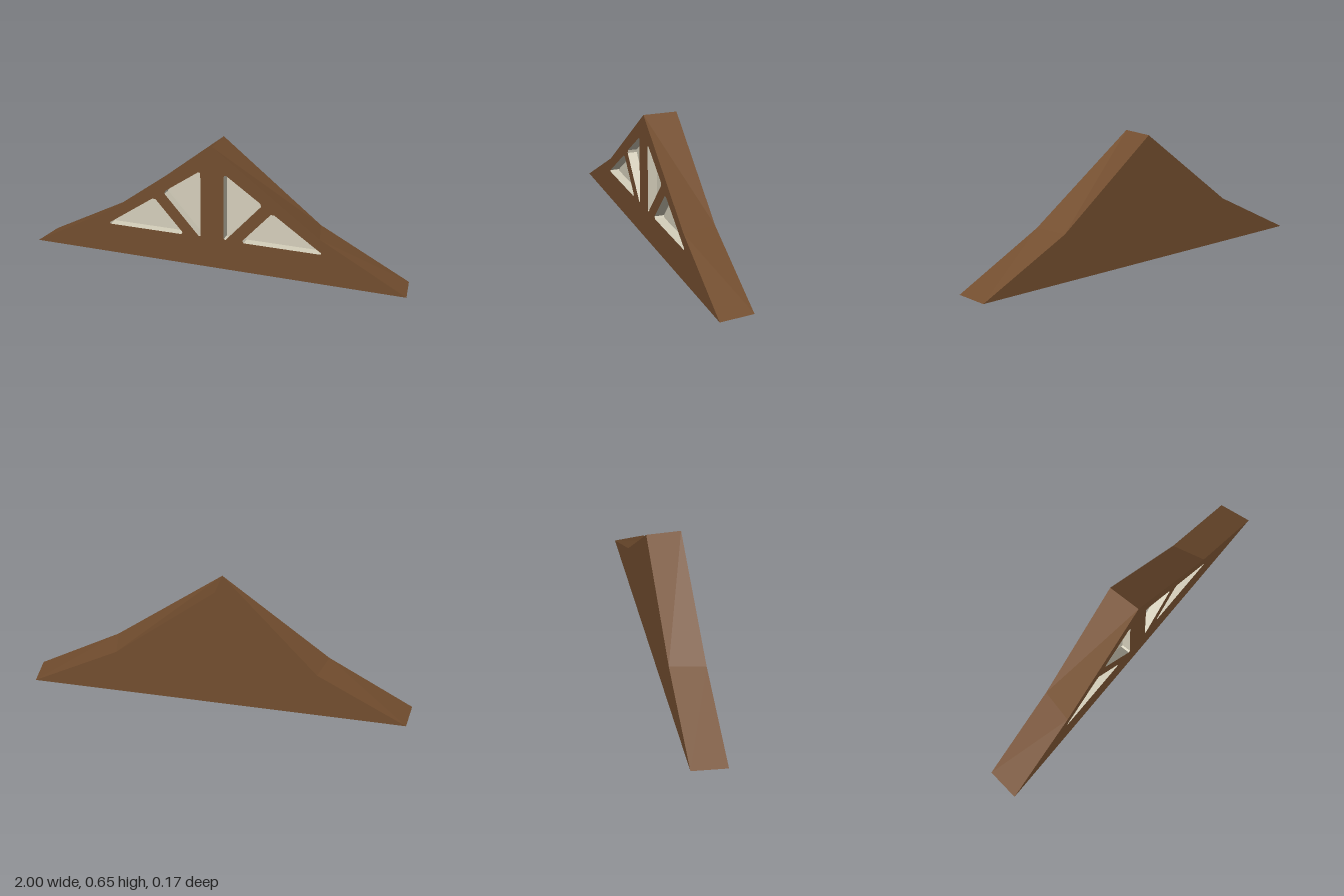
import * as THREE from 'three';

const FRONT = 0.0875, BACK = -0.0875, FLOOR = 0.0375;

// Mirrors a counter-clockwise outline across x = 0, keeping its winding
const mirror = (pts) => pts.map(([x, y]) => [-x, y]).reverse();
const toShape = (pts) => new THREE.Shape(pts.map(([x, y]) => new THREE.Vector2(x, y)));

// Band of faces joining a front outline to a back outline
function band(front, zf, back, zb, inward = false) {
  const pos = [];
  const n = front.length;
  for (let i = 0; i < n; i++) {
    const j = (i + 1) % n;
    const fi = [...front[i], zf], fj = [...front[j], zf];
    const ki = [...back[i], zb], kj = [...back[j], zb];
    const tris = front[i][0] + front[j][0] > 0
      ? [[fi, ki, fj], [ki, kj, fj]]
      : [[fi, ki, kj], [fi, kj, fj]];
    for (const [a, b, c] of tris) pos.push(...a, ...(inward ? c : b), ...(inward ? b : c));
  }
  const geo = new THREE.BufferGeometry();
  geo.setAttribute('position', new THREE.Float32BufferAttribute(pos, 3));
  geo.computeVertexNormals();
  return geo;
}

export function createModel() {
  const group = new THREE.Group();
  group.name = 'gableTruss';

  const wood = new THREE.MeshStandardMaterial({ color: 0x734e2f });
  wood.name = 'brownWood';
  const plaster = new THREE.MeshStandardMaterial({ color: 0xd6d0bc });
  plaster.name = 'palePlaster';

  const add = (name, geo, mat, z = 0) => {
    const mesh = new THREE.Mesh(geo, mat);
    mesh.name = name;
    mesh.position.z = z;
    group.add(mesh);
    return mesh;
  };

  // Kinked gable outlines; the back is slightly narrower than the front
  const gable = (foot, knee) => [[foot, 0], [knee, 0.24], [0, 0.652], [-knee, 0.24], [-foot, 0]];
  const frontOutline = gable(1, 0.56);
  const backOutline = gable(0.98, 0.52);

  // Triangular pockets with blunted corners
  const inner = [[0.062, 0.167], [0.072, 0.163], [0.257, 0.37], [0.254, 0.386], [0.074, 0.51], [0.062, 0.508]];
  const outer = [[0.168, 0.16], [0.565, 0.16], [0.569, 0.168], [0.325, 0.335], [0.307, 0.334], [0.161, 0.172]];
  const pockets = {
    leftInner: inner, leftOuter: outer,
    rightInner: mirror(inner), rightOuter: mirror(outer),
  };

  // Timber body
  const face = toShape(frontOutline);
  for (const pts of Object.values(pockets)) face.holes.push(toShape(pts));
  add('frontFrame', new THREE.ShapeGeometry(face), wood, FRONT);
  add('backFace', new THREE.ShapeGeometry(toShape(backOutline)), wood, BACK).rotation.y = Math.PI;
  add('edges', band(frontOutline, FRONT, backOutline, BACK), wood);

  // Recessed infill panels and their reveals
  for (const [name, pts] of Object.entries(pockets)) {
    add(name + 'Panel', new THREE.ShapeGeometry(toShape(pts)), plaster, FLOOR);
    add(name + 'Reveal', band(pts, FRONT, pts, FLOOR, true), plaster);
  }
  return group;
}
